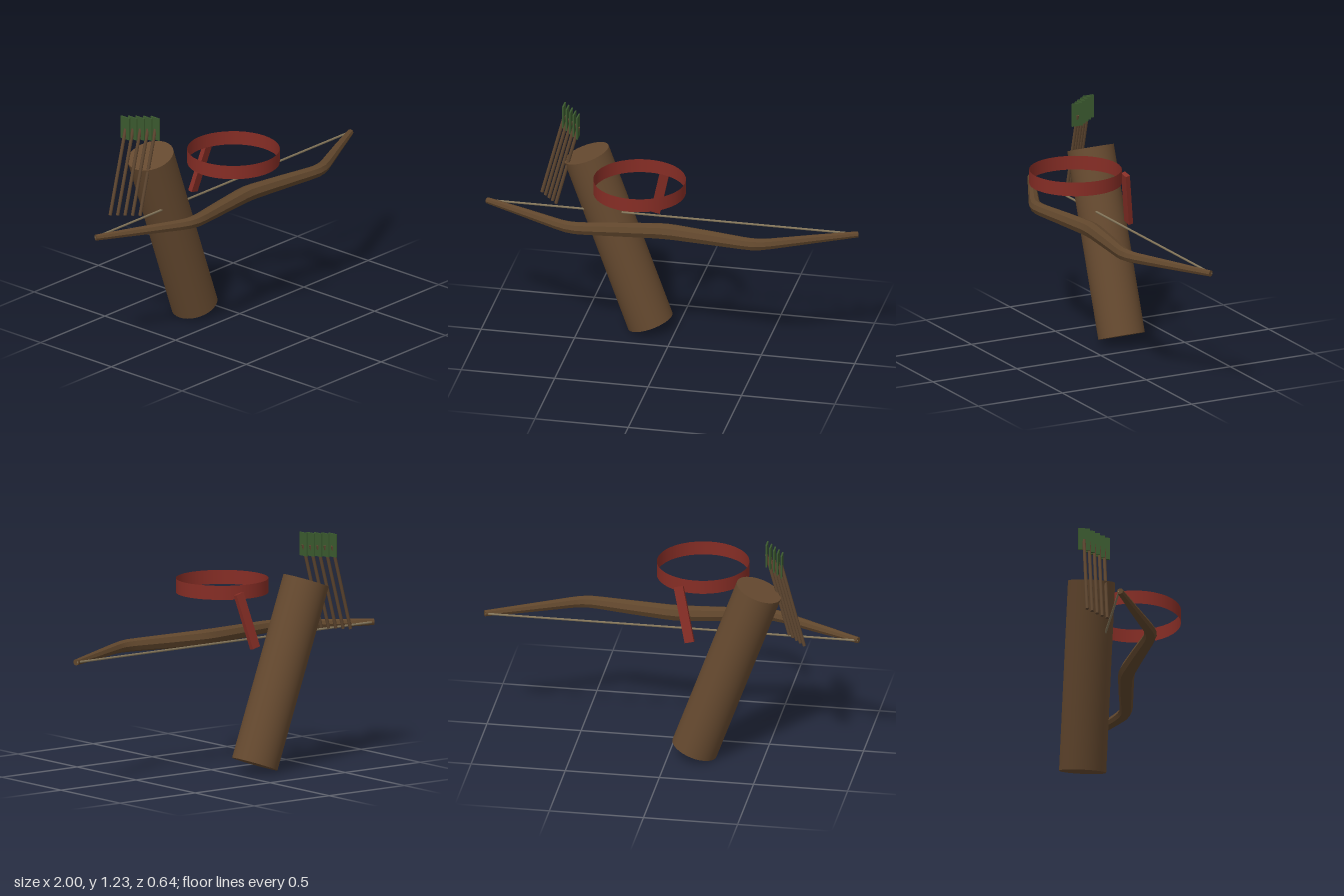
import * as THREE from 'three';
import { toCreasedNormals } from 'three/addons/utils/BufferGeometryUtils.js';

function material(name, color, side = THREE.FrontSide) {
  const m = new THREE.MeshStandardMaterial({ color, side });
  m.name = name;
  return m;
}

function part(name, geometry, mat, x = 0, y = 0, z = 0) {
  const mesh = new THREE.Mesh(geometry, mat);
  mesh.name = name;
  mesh.position.set(x, y, z);
  return mesh;
}

// Tapered eight-sided limb lofted along a bent path in the xz plane
function bowGeometry() {
  const half = [ // x, z, radius from the grip to the tip
    [0, 0.056, 0.044], [0.05, 0.059, 0.043], [0.25, 0.086, 0.039],
    [0.42, 0.111, 0.035], [0.47, 0.115, 0.034], [0.52, 0.108, 0.032],
    [0.57, 0.088, 0.03], [0.78, -0.016, 0.024], [0.992, -0.118, 0.017],
  ];
  const path = [...half.slice(1).reverse().map(([x, z, r]) => [-x, z, r]), ...half];
  const sides = 8, pos = [], index = [];
  path.forEach(([x, z, r], i) => {
    const a = path[Math.max(i - 1, 0)], b = path[Math.min(i + 1, path.length - 1)];
    const t = new THREE.Vector2(b[0] - a[0], b[1] - a[1]).normalize();
    for (let s = 0; s < sides; s++) {
      const ang = (s / sides) * Math.PI * 2;
      const out = Math.cos(ang) * r;
      pos.push(x - t.y * out, Math.sin(ang) * r, z + t.x * out);
      if (i === 0) continue;
      const p = (i - 1) * sides, n = (s + 1) % sides;
      index.push(p + s, p + sides + s, p + n, p + n, p + sides + s, p + sides + n);
    }
  });
  // Closed ends
  const last = (path.length - 1) * sides;
  for (let s = 1; s < sides - 1; s++) {
    index.push(0, s, s + 1, last, last + s + 1, last + s);
  }
  const g = new THREE.BufferGeometry();
  g.setAttribute('position', new THREE.Float32BufferAttribute(pos, 3));
  g.setIndex(index);
  return toCreasedNormals(g, 0.5);
}

export function createModel() {
  const model = new THREE.Group();
  model.name = 'archerySet';

  const leather = material('quiver leather', 0x65492f);
  const wood = material('bow wood', 0x60462c);
  const shaftWood = material('arrow wood', 0x5e4630);
  const cord = material('bowstring cord', 0x83755a);
  const red = material('red strap', 0x862d25, THREE.DoubleSide);
  const green = material('green feather', 0x3b5a2f);

  // Leaning quiver
  const quiver = part('quiver', new THREE.CylinderGeometry(0.124, 0.124, 1, 32), leather, -0.307, 0.512, -0.197);
  quiver.rotation.z = THREE.MathUtils.degToRad(20);
  model.add(quiver);

  // Bow with its string
  const bow = new THREE.Group();
  bow.name = 'bow';
  bow.position.y = 0.695;
  bow.add(part('bowLimbs', bowGeometry(), wood));
  const string = part('bowString', new THREE.CylinderGeometry(0.006, 0.006, 1.98, 8), cord, 0, 0, -0.122);
  string.rotation.z = Math.PI / 2;
  bow.add(string);
  model.add(bow);

  // Thin strap loop and its hanging end
  model.add(part('strapLoop', new THREE.CylinderGeometry(0.243, 0.243, 0.075, 40, 1, true), red, -0.135, 0.957, 0.078));
  const tail = part('strapEnd', new THREE.BoxGeometry(0.05, 0.3, 0.025), red, -0.081, 0.81, -0.2);
  tail.rotation.set(0.19, 0, -0.225);
  model.add(tail);

  // Five slanted arrows, each with an upright feather
  const shaftGeometry = new THREE.CylinderGeometry(0.009, 0.009, 0.47, 8);
  const featherGeometry = new THREE.BoxGeometry(0.008, 0.124, 0.062);
  for (let i = 0; i < 5; i++) {
    const arrow = new THREE.Group();
    arrow.name = 'arrow' + (i + 1);
    arrow.position.set(-0.61 + 0.025 * i, 1.163, -0.255 + 0.03 * i);
    const shaft = part('arrowShaft', shaftGeometry, shaftWood, -0.058, -0.23, 0);
    shaft.rotation.z = -0.26;
    arrow.add(shaft, part('feather', featherGeometry, green));
    model.add(arrow);
  }
  return model;
}
